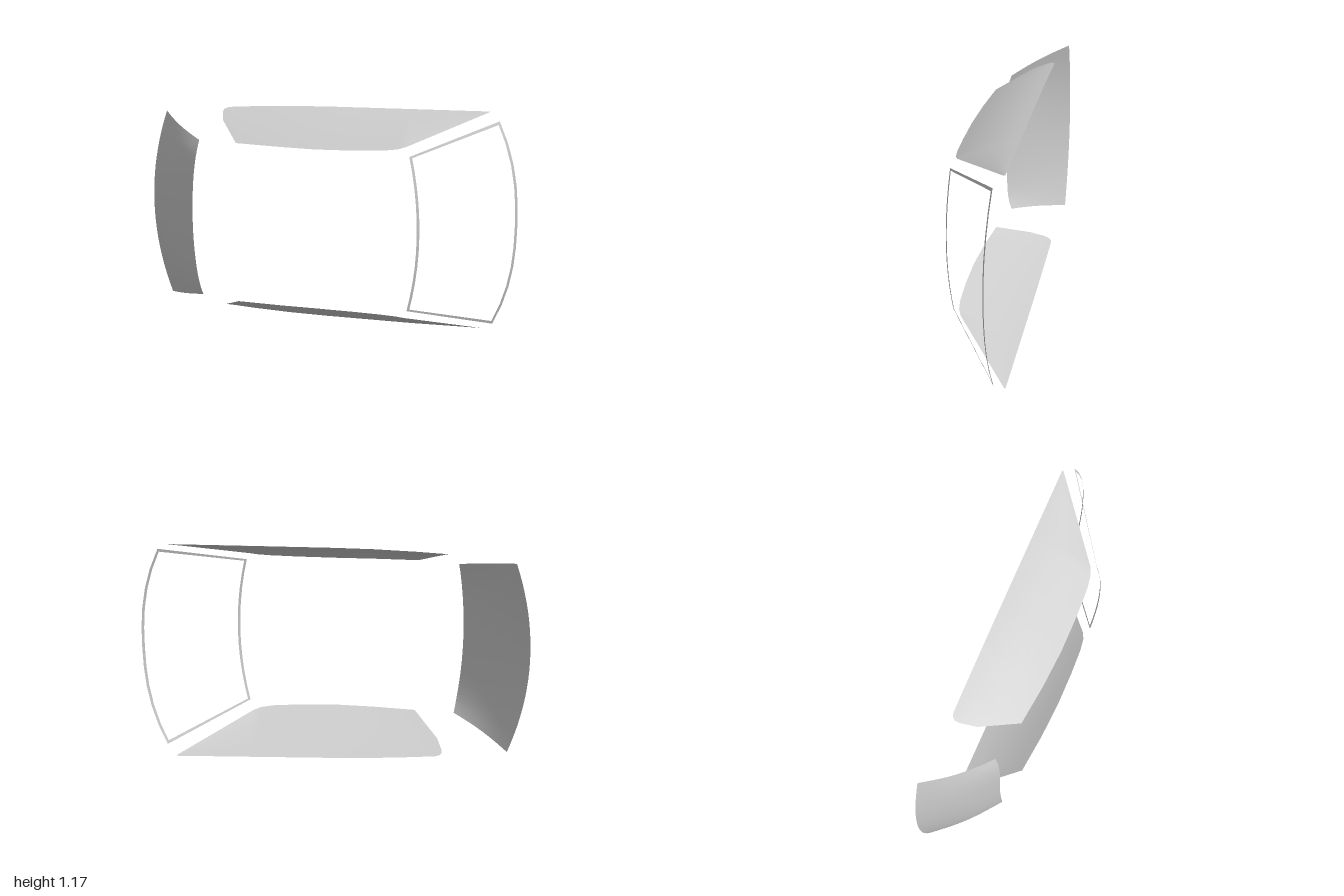
import * as THREE from 'three';

const MID = 0.583; // mirror plane height
const lerp = THREE.MathUtils.lerp;

// Smooth sheet from a rule: f(u, v) -> [x, y, z], u and v in 0..1
function sheet(nu, nv, f) {
  const pos = [], idx = [];
  for (let i = 0; i <= nu; i++)
    for (let j = 0; j <= nv; j++) pos.push(...f(i / nu, j / nv));
  for (let i = 0; i < nu; i++)
    for (let j = 0; j < nv; j++) {
      const a = i * (nv + 1) + j, b = a + nv + 1;
      idx.push(a, b, b + 1, a, b + 1, a + 1);
    }
  const g = new THREE.BufferGeometry();
  g.setAttribute('position', new THREE.Float32BufferAttribute(pos, 3));
  g.setIndex(idx);
  g.computeVertexNormals();
  return g;
}

// Piecewise linear lookup in a list of [x, z] points
function along(points, x) {
  let i = 0;
  while (i < points.length - 2 && x > points[i + 1][0]) i++;
  const [a, b] = [points[i], points[i + 1]];
  return lerp(a[1], b[1], (x - a[0]) / (b[0] - a[0]));
}

// Side window: back and front outline, bulging outwards
const backEdge = [[-0.57, -0.125], [-0.558, -0.14], [-0.54, -0.146], [0.828, -0.19]];
const frontEdge = [[-0.57, -0.1], [-0.545, -0.02], [-0.42, 0.15], [-0.2, 0.168], [0, 0.175],
  [0.2, 0.17], [0.35, 0.16], [0.42, 0.148], [0.46, 0.13], [0.828, -0.182]];
const columns = [...new Set([...backEdge, ...frontEdge].map(p => p[0]))].sort((a, b) => a - b);

function sideWindow(sign) {
  const n = columns.length - 1;
  return sheet(n, 8, (u, v) => {
    const x = columns[Math.round(u * n)];
    // v runs the other way on the mirrored pane so that both face outwards
    const z = lerp(along(backEdge, x), along(frontEdge, x), sign > 0 ? 1 - v : v);
    const y = 1.1 - 0.458 * z - 0.54 * z * z - (x < 0 ? 0.06 * x * x : 0);
    return [x, MID + sign * (y - MID), z];
  });
}

// Rear window: v from the roof edge to the outer edge, t = -1..1 across
function rearPoint(v, t) {
  const bulge = 0.016 * Math.sin(Math.PI * v);
  return [
    lerp(-0.668 + 0.037 * t * t, -1 + 0.092 * t * t, v) - 0.67 * bulge,
    MID + 0.003 + t * lerp(0.42, 0.513, v),
    lerp(0.142 - 0.032 * t ** 6, -0.158, v) + 0.74 * bulge,
  ];
}

// Windshield surface, same parameters
function windshieldPoint(v, t) {
  const s = Math.abs(t);
  return [
    lerp(0.528 - 0.048 * s * s, 0.996 - 0.112 * s ** 2.4, v),
    MID + 0.003 + t * lerp(0.402, 0.542, v),
    lerp(0.178 - 0.017 * s * s, -0.126 - 0.019 * s * s, v),
  ];
}

// Thin band following the border of the windshield
function windshieldFrame() {
  const n = 10, path = [];
  const corners = [[0, -1], [1, -1], [1, 1], [0, 1]];
  corners.forEach(([v, t], c) => {
    const [v2, t2] = corners[(c + 1) % 4];
    for (let i = 0; i < n; i++) path.push([lerp(v, v2, i / n), lerp(t, t2, i / n)]);
  });
  return sheet(path.length, 1, (u, w) => {
    const [v, t] = path[Math.round(u * path.length) % path.length];
    const k = 0.026 * (1 - w);
    return windshieldPoint(
      THREE.MathUtils.clamp(v, k, 1 - k),
      THREE.MathUtils.clamp(t, -1 + k, 1 - k));
  });
}

export function createModel() {
  const glass = new THREE.MeshStandardMaterial({ color: 0xcccccc, side: THREE.DoubleSide });
  glass.name = 'light grey';
  const group = new THREE.Group();
  group.name = 'carWindows';
  const add = (name, geometry) => {
    const mesh = new THREE.Mesh(geometry, glass);
    mesh.name = name;
    group.add(mesh);
  };

  add('upperSideWindow', sideWindow(1));
  add('lowerSideWindow', sideWindow(-1));
  add('rearWindow', sheet(8, 20, (u, v) => rearPoint(1 - u, 2 * v - 1)));
  add('windshieldFrame', windshieldFrame());
  return group;
}
